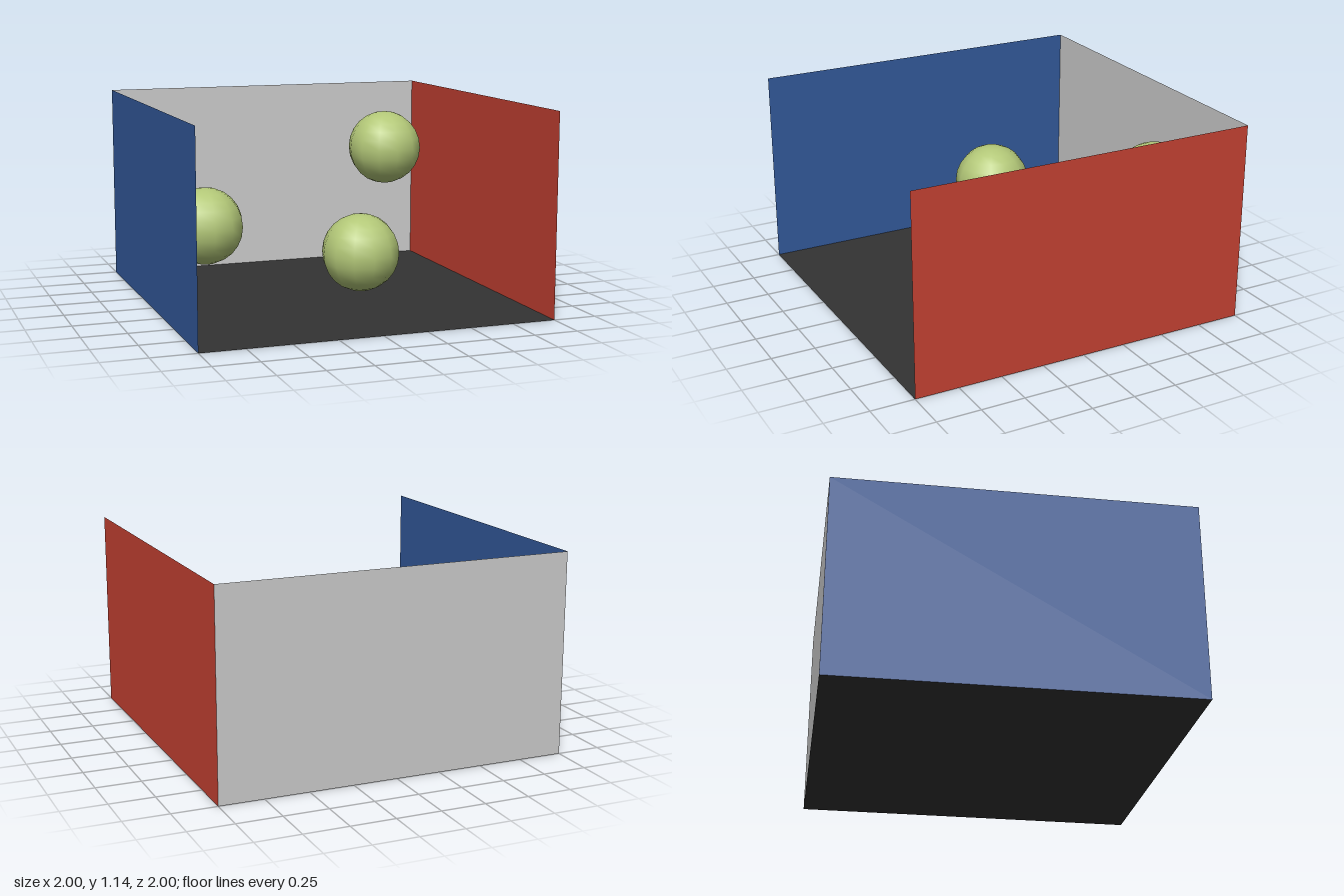
import * as THREE from 'three';

const HEIGHT = 1.143;
const RADIUS = 0.227;

export function createModel() {
  const model = new THREE.Group();
  model.name = 'openRoom';

  // Thin panels, seen from both sides
  const addPanel = (name, color, width, depth, position, rotation) => {
    const material = new THREE.MeshStandardMaterial({ color, side: THREE.DoubleSide });
    const panel = new THREE.Mesh(new THREE.PlaneGeometry(width, depth), material);
    panel.name = name;
    panel.position.set(...position);
    panel.rotation.set(...rotation);
    model.add(panel);
  };
  addPanel('floor', 0x333333, 2, 2, [0, 0, 0], [-Math.PI / 2, 0, 0]);
  addPanel('backWall', 0xcccccc, 2, HEIGHT, [0, HEIGHT / 2, -1], [0, 0, 0]);
  addPanel('leftWall', 0xc74233, 2, HEIGHT, [1, HEIGHT / 2, 0], [0, -Math.PI / 2, 0]);
  addPanel('rightWall', 0x335a9c, 2, HEIGHT, [-1, HEIGHT / 2, 0], [0, Math.PI / 2, 0]);

  // Balls floating inside the room
  const ballGeometry = new THREE.SphereGeometry(RADIUS, 12, 12);
  const ballMaterial = new THREE.MeshStandardMaterial({ color: 0xb3c878 });
  const centres = [
    [-0.61, 0.395, -0.29],
    [0.215, 0.257, 0.1],
    [0.66, 0.763, -0.64],
  ];
  centres.forEach((centre, i) => {
    const ball = new THREE.Mesh(ballGeometry, ballMaterial);
    ball.name = `ball${i + 1}`;
    ball.position.set(...centre);
    model.add(ball);
  });

  return model;
}
